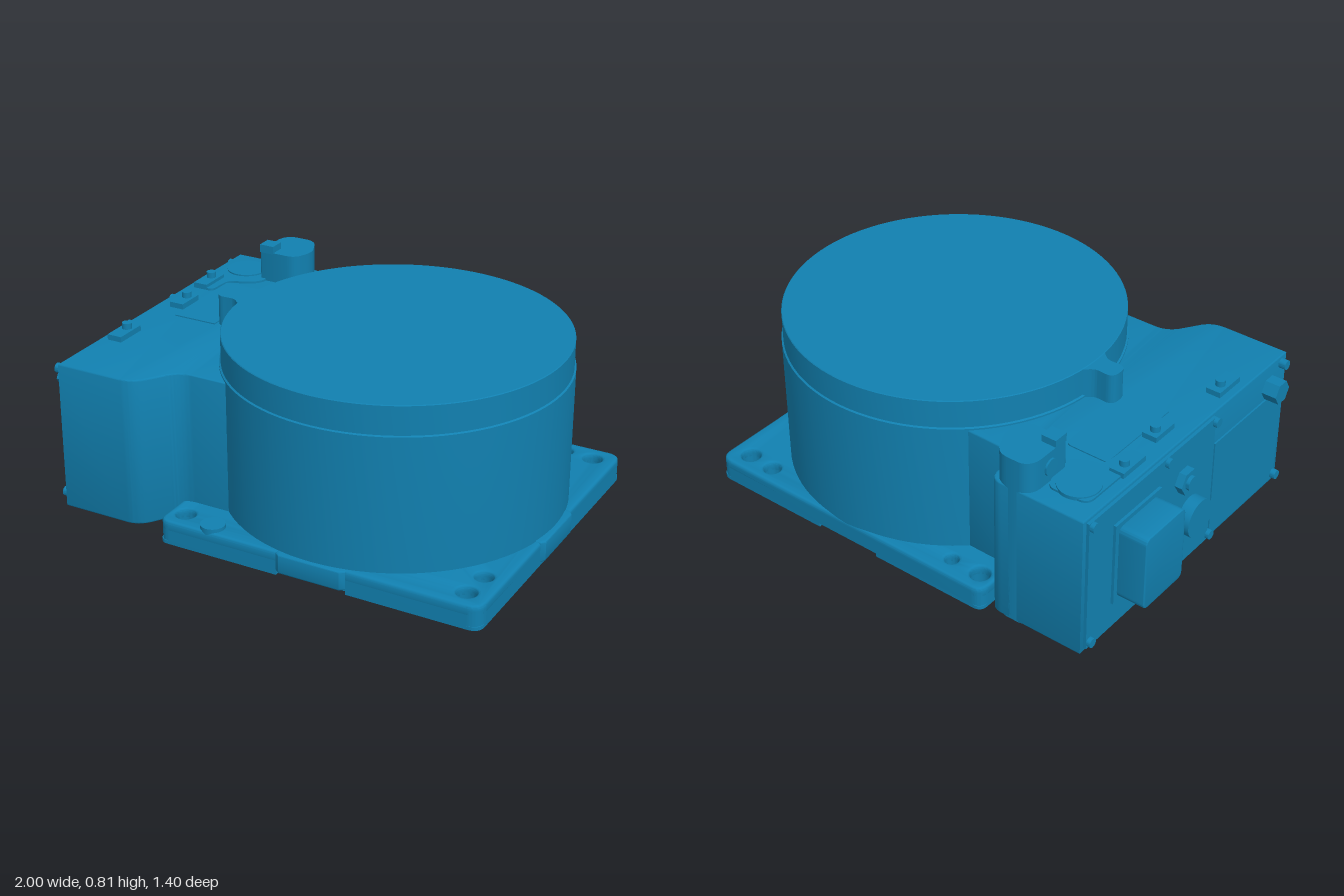
import * as THREE from 'three';
import { toCreasedNormals } from 'three/addons/utils/BufferGeometryUtils.js';

export function createModel() {
  const model = new THREE.Group();
  const material = new THREE.MeshStandardMaterial({ color: 0x1180b0 });
  const CX = 0.28, CZ = -0.01;

  const add = (name, geometry, x = 0, y = 0, z = 0) => {
    const mesh = new THREE.Mesh(geometry, material);
    mesh.name = name;
    mesh.position.set(x, y, z);
    model.add(mesh);
    return mesh;
  };
  // box given by its two extreme corners
  const box = (name, x0, x1, y0, y1, z0, z1) =>
    add(name, new THREE.BoxGeometry(x1 - x0, y1 - y0, z1 - z0), (x0 + x1) / 2, (y0 + y1) / 2, (z0 + z1) / 2);
  // closed outline of [x, z, cornerRadius] points
  const outline = (pts) => {
    const s = new THREE.Shape(), n = pts.length;
    pts.forEach(([x, z, r = 0], i) => {
      const p = new THREE.Vector2(x, z);
      const toward = (q) => new THREE.Vector2(q[0] - x, q[1] - z).setLength(r).add(p);
      const a = toward(pts[(i + n - 1) % n]), b = toward(pts[(i + 1) % n]);
      if (i === 0) s.moveTo(a.x, a.y); else s.lineTo(a.x, a.y);
      if (r) s.quadraticCurveTo(x, z, b.x, b.y);
    });
    s.closePath();
    return s;
  };
  // plan shape (x, z) extruded between two heights, with optional bevel
  const slab = (name, shape, y0, y1, bevel = 0) => {
    const g = new THREE.ExtrudeGeometry(shape, {
      depth: y1 - y0 - 2 * bevel, curveSegments: 16, bevelEnabled: bevel > 0,
      bevelThickness: bevel, bevelSize: bevel, bevelOffset: -bevel, bevelSegments: 3,
    });
    g.rotateX(Math.PI / 2);
    return add(name, toCreasedNormals(g, 0.6), 0, y1 - bevel, 0);
  };
  // cylinder or prism whose axis lies along x
  const stud = (name, x0, x1, y, z, r, sides = 24) => {
    const g = new THREE.CylinderGeometry(r, r, x1 - x0, sides);
    g.rotateZ(Math.PI / 2);
    return add(name, toCreasedNormals(g, 0.6), (x0 + x1) / 2, y, z);
  };

  // base flange with through holes
  const holes = [[-0.33, -0.62, 0.04], [-0.19, -0.62, 0.028], [0.755, -0.63, 0.036], [0.885, -0.62, 0.04],
    [0.895, 0.465, 0.036], [0.885, 0.595, 0.04], [-0.33, 0.595, 0.04]];
  const drill = (shape, test = () => true) => {
    for (const [x, z, r] of holes) if (test(x)) {
      const h = new THREE.Path();
      h.absarc(x, z, r, 0, Math.PI * 2, true);
      shape.holes.push(h);
    }
    return shape;
  };
  const plate = drill(outline([[-0.4, -0.705, 0.05], [0.98, -0.705, 0.06], [0.98, 0.685, 0.06], [-0.4, 0.685, 0.05]]));
  slab('baseFlange', plate, 0.015, 0.08);
  slab('baseFlangeTop', plate, 0.05, 0.1, 0.012);

  // two feet under the flange around a shallow round recess
  const R = 0.63, t = Math.acos(0.15 / R);
  const rightFoot = new THREE.Shape();
  rightFoot.moveTo(0.43, -0.705).lineTo(0.93, -0.705).quadraticCurveTo(0.98, -0.705, 0.98, -0.655)
    .lineTo(0.98, 0.635).quadraticCurveTo(0.98, 0.685, 0.93, 0.685).lineTo(0.43, 0.685);
  rightFoot.absarc(CX, CZ, R, t, -t, true);
  slab('rightFoot', drill(rightFoot, (x) => x > 0.3), 0, 0.015);
  const leftFoot = new THREE.Shape();
  leftFoot.moveTo(0.13, 0.685).lineTo(-0.36, 0.685).quadraticCurveTo(-0.4, 0.685, -0.4, 0.645)
    .lineTo(-0.4, -0.665).quadraticCurveTo(-0.4, -0.705, -0.36, -0.705).lineTo(0.13, -0.705);
  leftFoot.absarc(CX, CZ, R, Math.PI + t, Math.PI - t, true);
  slab('leftFoot', drill(leftFoot, (x) => x < 0.3), 0, 0.015);

  // raised pads on the flange rim
  slab('sidePad', outline([[0.9, -0.15], [0.98, -0.15], [0.995, -0.13], [0.995, 0.12], [0.98, 0.14], [0.9, 0.14]]), 0.015, 0.105, 0.008);
  slab('frontPad', outline([[0.13, 0.6], [0.13, 0.685], [0.15, 0.7], [0.41, 0.7], [0.43, 0.685], [0.43, 0.6]]), 0.018, 0.1, 0.006);
  add('flangePlug', new THREE.CylinderGeometry(0.05, 0.05, 0.03, 32), -0.18, 0.1, 0.635);

  // drum with a narrower cap
  const drum = [[0, 0.012], [0.69, 0.012], [0.695, 0.1], [0.695, 0.662], [0.688, 0.666], [0.688, 0.783], [0.685, 0.786], [0, 0.786]]
    .map(([r, y]) => new THREE.Vector2(r, y));
  add('drum', toCreasedNormals(new THREE.LatheGeometry(drum, 96), 0.5), CX, 0, CZ);

  // casing beside the drum
  slab('casing', outline([[-0.855, -0.69], [-0.43, -0.69, 0.06], [-0.43, -0.52, 0.05], [-0.15, -0.515], [0, -0.45],
    [0, 0.45], [-0.15, 0.5], [-0.4, 0.5, 0.06], [-0.51, 0.665, 0.06], [-0.855, 0.665]]), 0.03, 0.655, 0.006);

  // corner tower with a tab and a side pocket
  slab('cornerTower', outline([[-0.6, -0.69, 0.04], [-0.47, -0.69, 0.05], [-0.415, -0.57, 0.04], [-0.45, -0.475, 0.04],
    [-0.62, -0.475, 0.01], [-0.62, -0.64, 0.02]]), 0.03, 0.786);
  box('towerTab', -0.62, -0.555, 0.78, 0.815, -0.54, -0.475);
  stud('towerPocketRim', -0.628, -0.61, 0.72, -0.57, 0.035);

  // teardrop peg between casing and drum
  slab('drumPeg', outline([[-0.525, -0.055, 0.04], [-0.44, -0.05, 0.02], [-0.38, -0.1], [-0.38, 0.08], [-0.44, 0.03, 0.02], [-0.525, 0.035, 0.04]]), 0.64, 0.783);

  // thin cover pads on the casing roof
  slab('roofPad', outline([[-0.81, -0.6, 0.04], [-0.64, -0.61, 0.03], [-0.58, -0.46, 0.05], [-0.64, -0.4, 0.05],
    [-0.72, -0.38, 0.03], [-0.73, -0.26, 0.02], [-0.81, -0.26, 0.02]]), 0.65, 0.664);
  slab('roofPanel', outline([[-0.72, -0.36], [-0.53, -0.36, 0.03], [-0.53, 0.04], [-0.72, 0.04]]), 0.65, 0.66);
  add('roofCap', new THREE.CylinderGeometry(0.085, 0.085, 0.02, 32), -0.72, 0.66, -0.53);

  // roof brackets with screws
  for (const [x, z, w] of [[-0.79, -0.33, 0.14], [-0.76, -0.09, 0.12], [-0.79, 0.305, 0.14]]) {
    box('roofBracket', x - 0.032, x + 0.032, 0.65, 0.678, z - w / 2, z + w / 2);
    add('bracketScrew', new THREE.CylinderGeometry(0.02, 0.02, 0.035, 16), x, 0.685, z - 0.02);
  }

  // end panels and their screws
  box('endPanel', -0.868, -0.85, 0.05, 0.64, -0.67, 0.14);
  box('endPanelSmall', -0.862, -0.85, 0.05, 0.5, 0.16, 0.64);
  for (const z of [-0.65, -0.18, 0.14, 0.63])
    for (const y of [0.075, 0.62]) stud('panelScrew', -0.885, -0.85, y, z, 0.02, 16);

  // connectors on the end panel
  const connector = slab('mainConnector', outline([[0.19, -0.5, 0.03], [0.52, -0.5, 0.03], [0.52, -0.25, 0.03], [0.19, -0.25, 0.03]]), 0.86, 1, 0.004);
  connector.rotation.z = Math.PI / 2;
  connector.position.set(-0.996, 0, 0);
  box('connectorFlange', -0.88, -0.86, 0.17, 0.54, -0.52, -0.23);
  stud('roundConnector', -0.92, -0.86, 0.272, -0.01, 0.082, 32);
  stud('hexFitting', -0.9, -0.86, 0.475, -0.07, 0.055, 6);
  stud('hexFittingCore', -0.915, -0.86, 0.475, -0.07, 0.03);
  stud('ventNut', -0.92, -0.85, 0.55, 0.545, 0.05, 6);

  return model;
}
